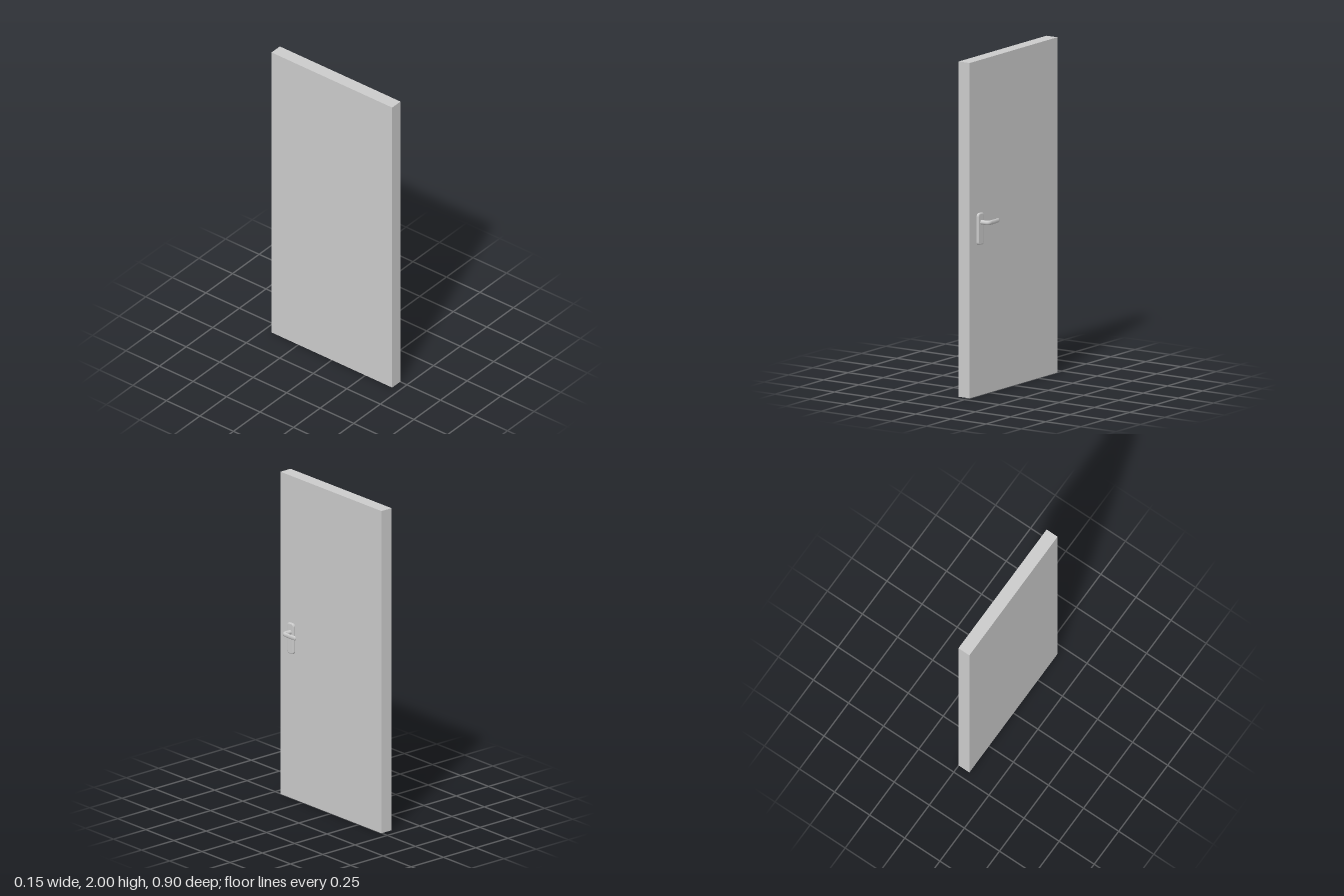
import * as THREE from 'three';

const mat = new THREE.MeshStandardMaterial({ color: 0xcccccc });

function addMesh(parent, name, geometry) {
  const mesh = new THREE.Mesh(geometry, mat);
  mesh.name = name;
  parent.add(mesh);
  return mesh;
}

// Rounded rectangle centred on the origin
function roundedRect(w, h, r) {
  const s = new THREE.Shape();
  const x = w / 2 - r, y = h / 2 - r;
  s.absarc(x, y, r, 0, Math.PI / 2);
  s.absarc(-x, y, r, Math.PI / 2, Math.PI);
  s.absarc(-x, -y, r, Math.PI, Math.PI * 1.5);
  s.absarc(x, -y, r, Math.PI * 1.5, Math.PI * 2);
  s.closePath();
  return s;
}

// Elliptical sections swept along a level curve; the far end closes in a dome
function leverGeometry() {
  const curve = new THREE.CatmullRomCurve3([
    [0.012, 0.348], [0.03, 0.348], [0.046, 0.348], [0.057, 0.345], [0.0635, 0.335],
    [0.0662, 0.318], [0.067, 0.295], [0.066, 0.265], [0.0645, 0.24],
  ].map(([x, z]) => new THREE.Vector3(x, 1.035, z)));
  const rings = 56, sides = 20, up = new THREE.Vector3(0, 1, 0);
  const pos = [], index = [];
  for (let i = 0; i <= rings; i++) {
    const t = i / rings;
    const u = t < 0.8 ? t * 1.17 : 0.936 + 0.064 * Math.sin((t - 0.8) / 0.2 * Math.PI / 2);
    const p = curve.getPointAt(u), n = up.clone().cross(curve.getTangentAt(u)).normalize();
    const e = Math.max(0, (u - 0.936) / 0.064);
    const dome = Math.sqrt(Math.max(0, 1 - e * e));
    // The round neck flattens into the grip
    const half = THREE.MathUtils.lerp(0.014, 0.0072, THREE.MathUtils.smoothstep(u, 0.25, 0.55)) * dome;
    const tall = 0.0135 * dome;
    for (let j = 0; j < sides; j++) {
      const a = j / sides * Math.PI * 2;
      const c = Math.cos(a) * half;
      pos.push(p.x + n.x * c, p.y + Math.sin(a) * tall, p.z + n.z * c);
    }
  }
  for (let i = 0; i < rings; i++) {
    for (let j = 0; j < sides; j++) {
      const a = i * sides + j, b = i * sides + (j + 1) % sides;
      index.push(a, b, b + sides, a, b + sides, a + sides);
    }
  }
  const g = new THREE.BufferGeometry();
  g.setAttribute('position', new THREE.Float32BufferAttribute(pos, 3));
  g.setIndex(index);
  g.computeVertexNormals();
  return g;
}

export function createModel() {
  const door = new THREE.Group();
  door.name = 'door';

  // Plain door leaf
  addMesh(door, 'doorLeaf', new THREE.BoxGeometry(0.078, 2, 0.9)).position.set(-0.037, 1, 0);

  const handle = new THREE.Group();
  handle.name = 'handle';
  door.add(handle);

  // Back plate with a bevelled outer rim, turned to face +x
  const plate = addMesh(handle, 'handlePlate', new THREE.ExtrudeGeometry(roundedRect(0.046, 0.176, 0.012), {
    depth: 0.009, bevelEnabled: true, bevelThickness: 0.005, bevelSize: 0.007, bevelSegments: 3, curveSegments: 8,
  }));
  plate.rotation.y = Math.PI / 2;
  plate.position.set(0.002, 0.995, 0.349);

  // Neck and grip
  addMesh(handle, 'lever', leverGeometry());

  return door;
}
